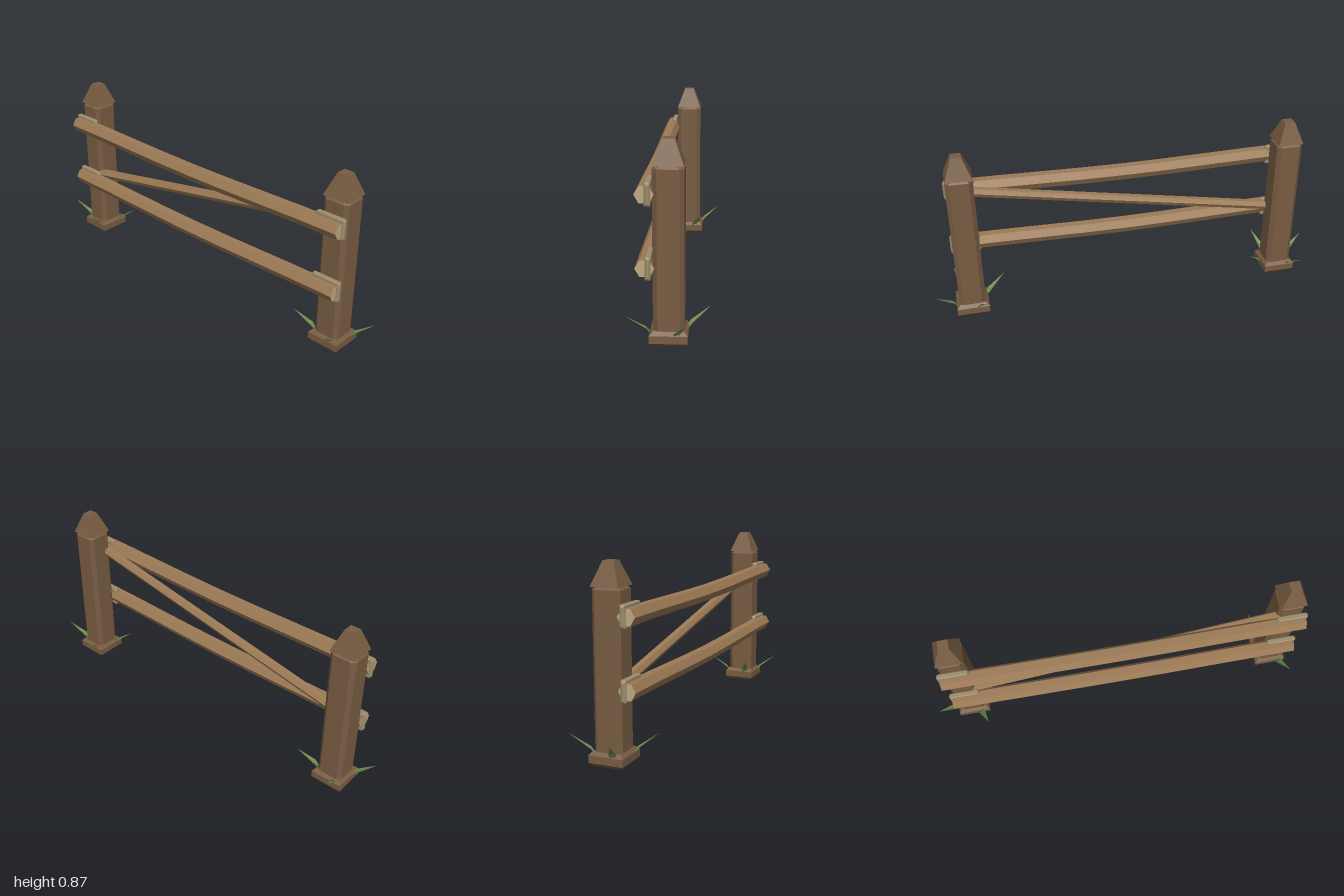
import * as THREE from 'three';

const mat = (name, color) => {
  const m = new THREE.MeshStandardMaterial({ color });
  m.name = name;
  return m;
};
const V = (x, y, z) => new THREE.Vector3(x, y, z);

// Flat-shaded solid through a series of rings; group 0 = sides, group 1 = end caps
function loft(rings) {
  const pos = [];
  const tri = (...p) => p.forEach((v) => pos.push(v.x, v.y, v.z));
  const n = rings[0].length;
  for (let r = 0; r < rings.length - 1; r++) {
    const a = rings[r], b = rings[r + 1];
    for (let i = 0; i < n; i++) {
      const j = (i + 1) % n;
      tri(a[i], a[j], b[j]);
      tri(a[i], b[j], b[i]);
    }
  }
  const sides = pos.length / 3;
  const first = rings[0], last = rings[rings.length - 1];
  for (let i = 1; i < n - 1; i++) {
    tri(first[0], first[i + 1], first[i]);
    tri(last[0], last[i], last[i + 1]);
  }
  const g = new THREE.BufferGeometry();
  g.setAttribute('position', new THREE.Float32BufferAttribute(pos, 3));
  g.addGroup(0, sides, 0);
  g.addGroup(sides, pos.length / 3 - sides, 1);
  g.computeVertexNormals();
  return g;
}

// Rectangle section with optional cut corners, counter-clockwise
function rect(hu, hv, c = 0) {
  if (!c) return [[hu, -hv], [hu, hv], [-hu, hv], [-hu, -hv]];
  return [[hu, c - hv], [hu, hv - c], [hu - c, hv], [c - hu, hv],
    [-hu, hv - c], [-hu, c - hv], [c - hu, -hv], [hu - c, -hv]];
}
const hexagon = (r) => Array.from({ length: 6 }, (_, k) => {
  const a = Math.PI / 2 + k * Math.PI / 3;
  return [r * Math.cos(a), r * Math.sin(a)];
});
// Place a section across the y axis or across the x axis
const acrossY = (sec, y) => sec.map(([u, v]) => V(v, y, u));
const acrossX = (sec, x, y = 0, z = 0) => sec.map(([u, v]) => V(x, y + u, z + v));

export function createModel() {
  const postWood = mat('post wood', 0x785c42);
  const railWood = mat('rail wood', 0x9c7a55);
  const endGrain = mat('end grain', 0xbfa981);
  const strapTone = mat('strap', 0x9c8c6b);
  const grass = mat('grass', 0x6f8f4f);

  const model = new THREE.Group();
  model.name = 'fence';
  const add = (parent, name, geo, side, cap = side) => {
    const m = new THREE.Mesh(geo, side === cap ? side : [side, cap]);
    m.name = name;
    parent.add(m);
    return m;
  };

  const POST_X = 0.823;
  const RAIL_Y = [0.338, 0.65];

  // Post pieces
  const footGeo = loft([[0, 0.065], [0.016, 0.081], [0.05, 0.081], [0.066, 0.065]]
    .map(([y, h]) => acrossY(rect(h, h), y)));
  const shaftGeo = loft([[0.04, 0.066], [0.754, 0.066], [0.767, 0.053]]
    .map(([y, h]) => acrossY(rect(h, h, 0.02), y)));
  const capGeo = loft([[0.766, 0.065], [0.872, 0.025]]
    .map(([y, h]) => acrossY(rect(h, h), y)));

  // Bent grass blade with a diamond section, leaning outward
  const bladeGeo = loft([
    [0.076, 0.038, 0.007, 0.004],
    [0.1, 0.07, 0.017, 0.005],
    [0.19, 0.132, 0.0005, 0.0005],
  ].map(([r, y, w, t]) => [[w, 0], [0, t], [-w, 0], [0, -t]]
    .map(([u, v]) => V(u, y + v * 0.8, -r + v * 0.6))));

  // Plate with bevelled edges between post and rail
  const strapGeo = loft([[-0.077, 0.008], [-0.069, 0], [0.069, 0], [0.077, 0.008]]
    .map(([x, inset]) => acrossX(rect(0.05 - inset, 0.0125 - inset, 0.004), x)));

  for (const side of [-1, 1]) {
    const post = new THREE.Group();
    post.name = side > 0 ? 'leftPost' : 'rightPost';
    post.position.x = side * POST_X;
    add(post, 'postFoot', footGeo, postWood);
    add(post, 'postShaft', shaftGeo, postWood);
    add(post, 'postCap', capGeo, postWood);
    for (let k = 0; k < 4; k++) {
      add(post, 'grassBlade', bladeGeo, grass).rotation.y = Math.atan2(0.075, 0.174) + k * Math.PI / 2;
    }
    for (const y of RAIL_Y) {
      add(post, 'strap', strapGeo, strapTone).position.set(0, y + 0.001, 0.084);
    }
    model.add(post);
  }

  // Sagging hexagonal rails with pale cut ends
  const railSection = hexagon(0.041);
  const steps = 8;
  for (const y of RAIL_Y) {
    const rings = [];
    for (let i = 0; i <= steps; i++) {
      const t = (i / steps) * 2 - 1;
      const sag = 0.013 * Math.cos(t * Math.PI / 2) ** 2;
      rings.push(acrossX(railSection, t * 0.887, y - sag, 0.098));
    }
    add(model, 'rail', loft(rings), railWood, endGrain);
  }

  // Diagonal brace behind the rails
  const braceSection = hexagon(0.025);
  add(model, 'brace', loft([
    acrossX(braceSection, -0.78, 0.364, 0.046),
    acrossX(braceSection, 0.78, 0.65, 0.046),
  ]), railWood);

  return model;
}
